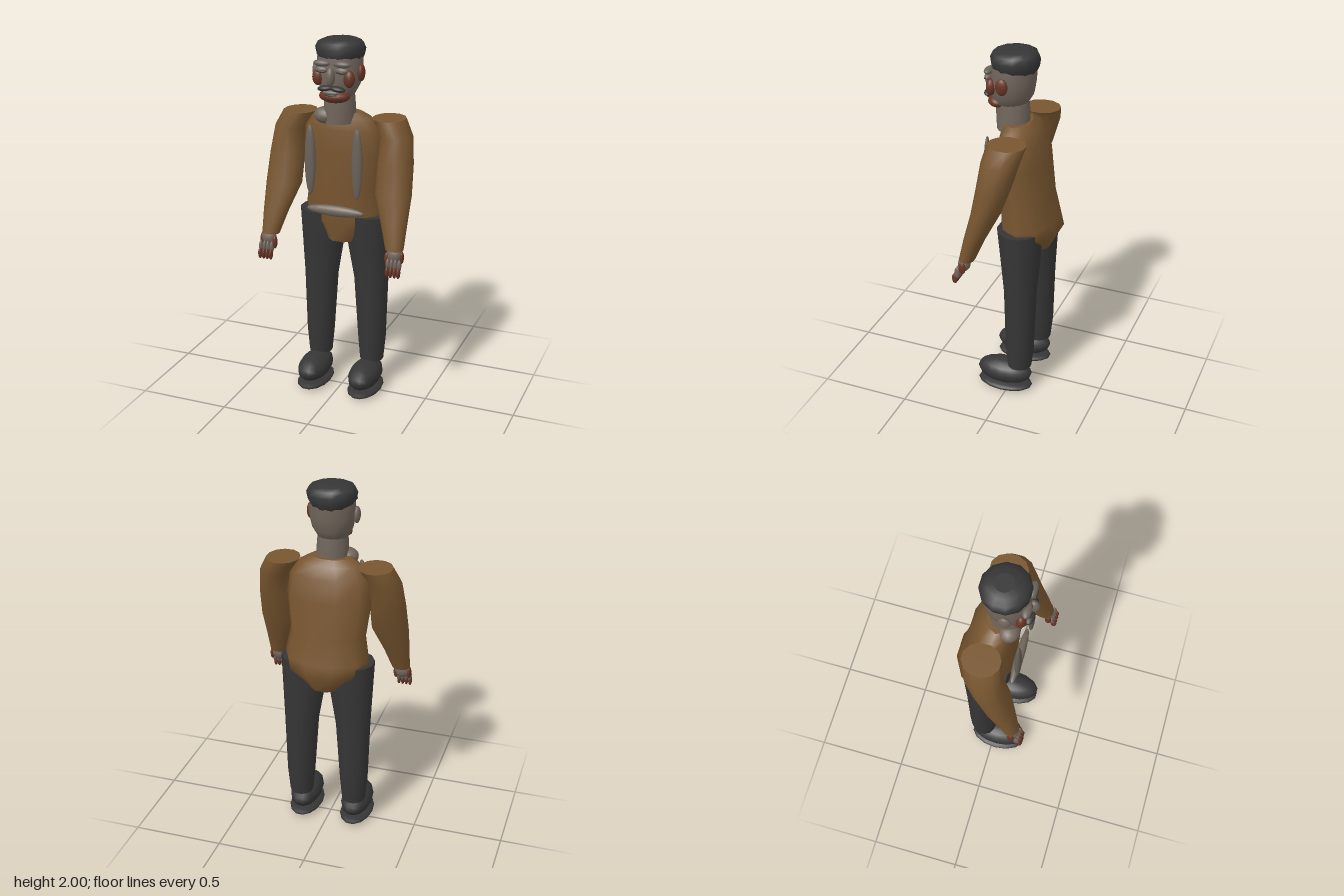
import * as THREE from 'three';

const mat = (name, color) => {
  const m = new THREE.MeshStandardMaterial({ color });
  m.name = name;
  return m;
};

// Closed body through elliptical rings [y, centreX, centreZ, radiusX, radiusZ], bottom to top
function loft(rings, sides, offset = 0) {
  const pos = [], index = [];
  const ringPoint = ([y, cx, cz, rx, rz], j) => {
    const a = ((j + offset) / sides) * Math.PI * 2;
    return [cx + rx * Math.sin(a), y, cz + rz * Math.cos(a)];
  };
  rings.forEach((r, i) => {
    for (let j = 0; j < sides; j++) {
      pos.push(...ringPoint(r, j));
      if (i === rings.length - 1) continue;
      const a = i * sides + j, b = i * sides + (j + 1) % sides;
      index.push(a, b, b + sides, a, b + sides, a + sides);
    }
  });
  // Caps have their own vertices so the rim stays sharp
  for (const [r, top] of [[rings[0], false], [rings[rings.length - 1], true]]) {
    const c = pos.length / 3;
    pos.push(r[1], r[0], r[2]);
    for (let j = 0; j < sides; j++) pos.push(...ringPoint(r, j));
    for (let j = 0; j < sides; j++) {
      const a = c + 1 + j, b = c + 1 + (j + 1) % sides;
      index.push(c, top ? a : b, top ? b : a);
    }
  }
  const g = new THREE.BufferGeometry();
  g.setAttribute('position', new THREE.Float32BufferAttribute(pos, 3));
  g.setIndex(index);
  g.computeVertexNormals();
  return g;
}

export function createModel() {
  const model = new THREE.Group();
  model.name = 'standingMan';

  const jacket = mat('jacketBrown', 0x785630);
  const dark = mat('charcoalCloth', 0x363637);
  const skin = mat('greyBeigeSkin', 0x71665c);
  const trim = mat('greyTrim', 0x686158);
  const red = mat('russetSkin', 0x693526);

  const add = (name, geometry, material, parent = model) => {
    const m = new THREE.Mesh(geometry, material);
    m.name = name;
    parent.add(m);
    return m;
  };
  const blob = (name, material, [x, y, z], [rx, ry, rz], parent = model) => {
    const m = add(name, new THREE.SphereGeometry(1, 14, 10), material, parent);
    m.position.set(x, y, z);
    m.scale.set(rx, ry, rz);
    return m;
  };

  // Jacket body with pointed tail and front flap
  add('jacketBody', loft([
    [0.89, 0, -0.06, 0.105, 0.125],
    [1.0, 0, -0.08, 0.215, 0.163],
    [1.06, 0, -0.07, 0.235, 0.152],
    [1.2, 0, -0.052, 0.21, 0.14],
    [1.4, 0, -0.035, 0.235, 0.132],
    [1.52, 0, -0.022, 0.22, 0.113],
    [1.58, 0, -0.012, 0.165, 0.09],
    [1.61, 0, 0, 0.11, 0.07],
  ], 10, 0.5), jacket);

  // Lapels, belt and collar
  for (const s of [-1, 1]) blob('lapel', trim, [s * 0.132, 1.36, 0.125], [0.031, 0.193, 0.018]);
  blob('belt', skin, [0, 1.08, 0.1], [0.166, 0.03, 0.025]);
  blob('collar', skin, [-0.07, 1.593, 0.06], [0.062, 0.045, 0.055]);

  // Neck and head
  add('neck', loft([
    [1.56, 0, 0.03, 0.088, 0.088],
    [1.66, 0, 0.033, 0.084, 0.09],
    [1.74, 0, 0.035, 0.078, 0.085],
  ], 14), skin);
  const head = new THREE.Group();
  head.name = 'head';
  model.add(head);
  add('skull', loft([
    [1.68, 0, 0.06, 0.05, 0.06],
    [1.71, 0, 0.045, 0.082, 0.092],
    [1.76, 0, 0.036, 0.108, 0.113],
    [1.83, 0, 0.032, 0.123, 0.12],
    [1.91, 0, 0.026, 0.118, 0.118],
  ], 16), skin, head);
  add('cap', loft([
    [1.885, 0, 0.02, 0.108, 0.112],
    [1.91, 0, 0.02, 0.124, 0.124],
    [1.95, 0, 0.02, 0.133, 0.129],
    [1.98, 0, 0.02, 0.118, 0.116],
    [1.994, 0, 0.015, 0.085, 0.085],
    [2.0, 0, 0.012, 0.05, 0.05],
  ], 12, 0.5), dark, head);

  // Face
  for (const s of [-1, 1]) {
    blob('ear', s > 0 ? red : skin, [s * 0.125, 1.83, 0.047], [0.018, 0.045, 0.033], head);
    blob('cheek', red, [s * 0.086, 1.808, 0.12], [0.03, 0.045, 0.026], head);
    blob('brow', trim, [s * 0.055, 1.885, 0.14], [0.048, 0.018, 0.024], head);
    blob('eyelid', skin, [s * 0.055, 1.852, 0.143], [0.035, 0.018, 0.018], head);
    blob('eyeSlit', dark, [s * 0.055, 1.845, 0.157], [0.028, 0.006, 0.007], head);
    blob('moustacheHalf', dark, [s * 0.035, 1.758, 0.15], [0.042, 0.015, 0.025], head)
      .rotation.z = -s * 0.12;
  }
  blob('nose', skin, [0, 1.82, 0.16], [0.023, 0.05, 0.03], head);
  blob('chin', red, [0, 1.712, 0.102], [0.085, 0.038, 0.063], head);
  blob('lowerLip', skin, [0, 1.738, 0.157], [0.045, 0.013, 0.016], head);
  blob('mouth', dark, [0, 1.726, 0.16], [0.035, 0.006, 0.012], head);

  for (const s of [-1, 1]) {
    // Sleeve
    const arm = new THREE.Group();
    arm.name = s > 0 ? 'leftArm' : 'rightArm';
    model.add(arm);
    add('sleeve', loft([
      [0.93, s * 0.355, 0.155, 0.049, 0.042],
      [1.05, s * 0.338, 0.118, 0.07, 0.055],
      [1.2, s * 0.312, 0.063, 0.1, 0.075],
      [1.36, s * 0.307, 0.018, 0.096, 0.09],
      [1.5, s * 0.3, -0.015, 0.085, 0.1],
      [1.585, s * 0.252, -0.033, 0.09, 0.102],
    ], 12, 0.5), jacket, arm);

    // Hand with four fingers and a thumb
    blob('palm', skin, [s * 0.36, 0.905, 0.168], [0.042, 0.045, 0.033], arm);
    blob('thumb', red, [s * 0.322, 0.885, 0.178], [0.013, 0.038, 0.018], arm);
    blob('handEdge', red, [s * 0.4, 0.895, 0.165], [0.011, 0.035, 0.02], arm);
    for (let i = 0; i < 4; i++) {
      const x = s * (0.334 + i * 0.021);
      blob('finger', skin, [x, 0.858, 0.195], [0.011, 0.035, 0.016], arm);
      blob('fingertip', red, [x, 0.822, 0.209], [0.0105, 0.03, 0.017], arm);
    }

    // Trouser leg
    add('trouserLeg', loft([
      [0.165, s * 0.155, -0.063, 0.066, 0.068],
      [0.3, s * 0.155, -0.065, 0.078, 0.08],
      [0.65, s * 0.148, -0.065, 0.095, 0.09],
      [0.85, s * 0.135, -0.06, 0.116, 0.108],
      [1.04, s * 0.132, -0.055, 0.127, 0.122],
    ], 12, 0.5), dark);

    // Shoe and sole
    blob('shoe', dark, [s * 0.152, 0.105, 0.027], [0.086, 0.074, 0.16]);
    blob('sole', dark, [s * 0.152, 0.025, 0.025], [0.092, 0.025, 0.16]);
  }
  return model;
}
